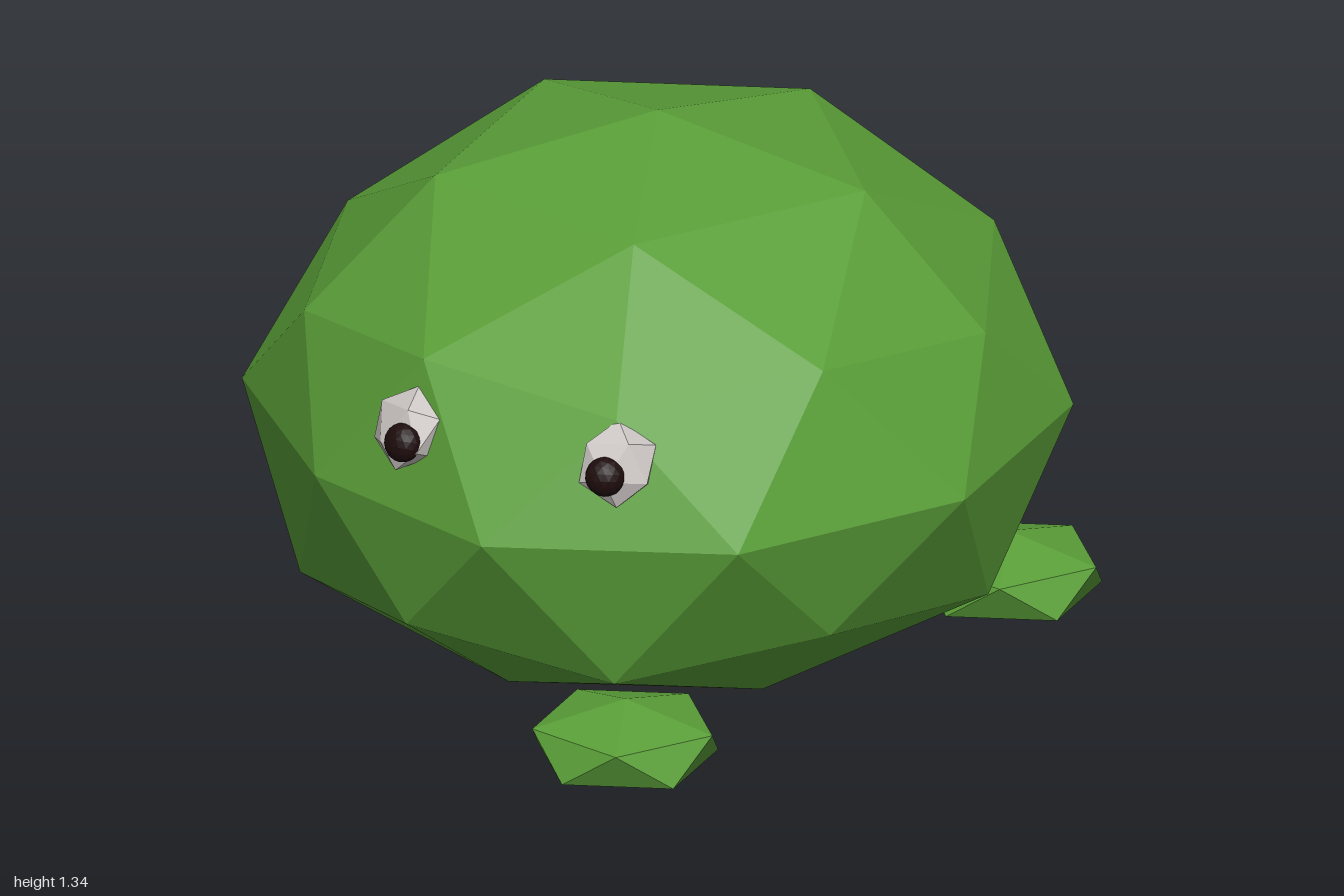
import * as THREE from 'three';

const material = (name, color) => {
  const m = new THREE.MeshStandardMaterial({ color, flatShading: true });
  m.name = name;
  return m;
};

// Icosphere with a vertex at the top and one upper-ring vertex towards +x
function icosphere(detail) {
  const g = new THREE.IcosahedronGeometry(1, detail);
  g.rotateX(-Math.atan((1 + Math.sqrt(5)) / 2));
  g.rotateY(Math.PI / 2);
  return g;
}

// Body rings: [height on the unit sphere, height on the body, x scale, z scale]
const RINGS = [
  [1, 1.343, 1, 1], [0.851, 1.23, 0.98, 1], [0.526, 0.99, 0.905, 0.97],
  [0.447, 0.93, 0.91, 0.95], [0, 0.65, 0.943, 1], [-0.447, 0.36, 0.91, 1],
  [-0.526, 0.287, 0.965, 1.02], [-0.851, 0.1, 0.93, 1], [-1, 0.005, 1, 1],
];

function bodyGeometry() {
  const g = icosphere(1);
  const p = g.attributes.position;
  for (let i = 0; i < p.count; i++) {
    const x = p.getX(i), y = p.getY(i), z = p.getZ(i);
    const ring = RINGS.reduce((a, b) => (Math.abs(b[0] - y) < Math.abs(a[0] - y) ? b : a));
    let px = x * ring[2], pz = z * ring[3];
    // slight unevenness of the widest ring
    if (ring[0] === 0 && Math.abs(x) > 0.5 && Math.abs(x) < 0.7) {
      if (x < 0 && z > 0) { px += 0.04; pz -= 0.04; }
      if (x < 0 && z < 0) pz -= 0.05;
      if (x > 0 && z < 0) { px -= 0.04; pz += 0.02; }
    }
    p.setXYZ(i, px, ring[1], pz);
  }
  g.computeVertexNormals();
  return g;
}

export function createModel() {
  const model = new THREE.Group();
  model.name = 'roundCreature';
  const green = material('green skin', 0x5a9e38);
  const white = material('eye white', 0xc9c3c1);
  const dark = material('pupil dark', 0x1e0c0c);

  const add = (name, geometry, mat, position, scale) => {
    const mesh = new THREE.Mesh(geometry, mat);
    mesh.name = name;
    mesh.position.set(...position);
    mesh.scale.set(...scale);
    model.add(mesh);
    return mesh;
  };

  add('body', bodyGeometry(), green, [0, 0, 0], [1, 1, 1]);

  // Three flattened feet
  const footGeometry = icosphere(0);
  const feet = { frontFoot: [0.237, 0.725], backLeftFoot: [0.64, -0.53], rightFoot: [-0.69, -0.24] };
  for (const [name, [x, z]] of Object.entries(feet)) {
    add(name, footGeometry, green, [x, 0.11, z], [0.242, 0.1, 0.242]);
  }

  // Eyes tilted to follow the body, each with a small dark pupil
  const eyeGeometry = icosphere(0);
  const pupilGeometry = icosphere(2);
  for (const [side, s, x] of [['left', 1, 0.267], ['right', -1, -0.255]]) {
    const eye = add(side + 'Eye', eyeGeometry, white, [x, 0.837, 0.837], [0.097, 0.1, 0.055]);
    eye.rotation.set(-0.4, s * 0.35, 0, 'YXZ');
    const pupil = add(side + 'Pupil', pupilGeometry, dark, [x - s * 0.01, 0.822, 0.885], [0.046, 0.046, 0.036]);
    pupil.rotation.set(-0.3, s * 0.25, 0, 'YXZ');
  }
  return model;
}
